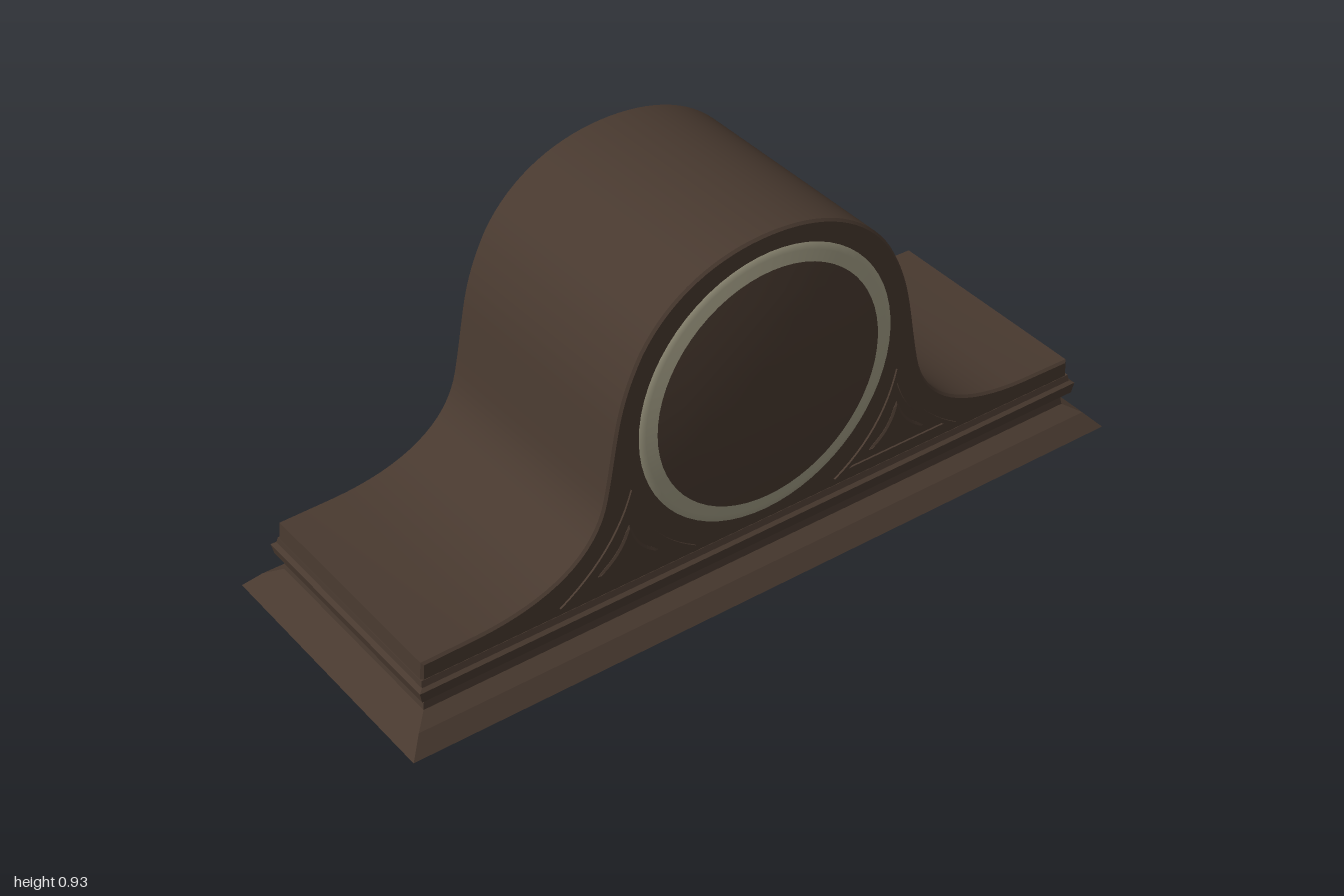
import * as THREE from 'three';
import { toCreasedNormals } from 'three/addons/utils/BufferGeometryUtils.js';

export function createModel() {
  const clock = new THREE.Group();
  clock.name = 'mantelClock';

  const wood = new THREE.MeshStandardMaterial({ color: 0x48392f });
  wood.name = 'darkWood';
  const ivory = new THREE.MeshStandardMaterial({ color: 0xa19c84 });
  ivory.name = 'ivoryRing';

  const add = (name, geometry, material, x = 0, y = 0, z = 0) => {
    const mesh = new THREE.Mesh(geometry, material);
    mesh.name = name;
    mesh.position.set(x, y, z);
    clock.add(mesh);
    return mesh;
  };

  // Moulded plinth: rectangular sections [y, half width, half depth]
  const sections = [
    [0, 1, 0.367], [0.008, 0.992, 0.36], [0.04, 0.962, 0.332], [0.06, 0.925, 0.295],
    [0.09, 0.92, 0.291], [0.1, 0.937, 0.312], [0.128, 0.943, 0.315],
    [0.134, 0.932, 0.306], [0.15, 0.93, 0.302],
  ];
  const pos = [];
  const corner = ([y, w, d], i) => [[w, y, d], [w, y, -d], [-w, y, -d], [-w, y, d]][i % 4];
  const quad = (a, b, c, d) => pos.push(...a, ...b, ...c, ...a, ...c, ...d);
  for (let s = 0; s < sections.length - 1; s++) {
    const lo = sections[s], hi = sections[s + 1];
    for (let i = 0; i < 4; i++) quad(corner(lo, i), corner(lo, i + 1), corner(hi, i + 1), corner(hi, i));
  }
  const first = sections[0], last = sections[sections.length - 1];
  quad(corner(last, 0), corner(last, 1), corner(last, 2), corner(last, 3));
  quad(corner(first, 3), corner(first, 2), corner(first, 1), corner(first, 0));
  const plinth = new THREE.BufferGeometry();
  plinth.setAttribute('position', new THREE.Float32BufferAttribute(pos, 3));
  plinth.computeVertexNormals();
  add('plinth', plinth, wood);

  // Case: round hood flowing into flat shoulders
  const outline = new THREE.Shape();
  outline.moveTo(-0.93, 0.135);
  outline.lineTo(0.93, 0.135);
  outline.lineTo(0.925, 0.195);
  outline.lineTo(0.78, 0.198);
  outline.bezierCurveTo(0.6, 0.205, 0.47, 0.27, 0.442, 0.41);
  outline.bezierCurveTo(0.41, 0.56, 0.415, 0.63, 0.345, 0.755);
  outline.bezierCurveTo(0.27, 0.875, 0.14, 0.93, 0, 0.93);
  outline.bezierCurveTo(-0.14, 0.93, -0.27, 0.875, -0.345, 0.755);
  outline.bezierCurveTo(-0.415, 0.63, -0.41, 0.56, -0.442, 0.41);
  outline.bezierCurveTo(-0.47, 0.27, -0.6, 0.205, -0.78, 0.198);
  outline.lineTo(-0.925, 0.195);
  const body = new THREE.ExtrudeGeometry(outline, {
    depth: 0.59, curveSegments: 16, bevelSize: 0.006, bevelOffset: -0.006,
    bevelThickness: 0.006, bevelSegments: 1,
  });
  body.translate(0, 0, -0.295);
  add('case', toCreasedNormals(body, 0.5), wood);

  // Domed dial with an ivory outer ring
  const dome = (r) => new THREE.Vector2(r, 0.037 * (1 - (r / 0.352) ** 2));
  const lathe = (radii, rim) => {
    const points = radii.map(dome);
    if (rim) points.unshift(new THREE.Vector2(0.35, -0.005));
    const g = new THREE.LatheGeometry(points, 64);
    g.rotateX(Math.PI / 2);
    return g;
  };
  add('dialRing', lathe([0.352, 0.335, 0.308], true), ivory, 0, 0.53, 0.301);
  add('dialFace', lathe([0.308, 0.25, 0.18, 0.09, 0], false), wood, 0, 0.53, 0.301);

  // Carved corner ornaments, mirrored: raised frame and inner leaf
  const triangle = (Path, scale, side) => {
    const p = (x, y) => [side * (0.385 + (x - 0.385) * scale), 0.235 + (y - 0.235) * scale];
    const t = new Path();
    t.moveTo(...p(0.2, 0.17));
    t.lineTo(...p(0.57, 0.17));
    t.quadraticCurveTo(...p(0.42, 0.26), ...p(0.375, 0.41));
    t.quadraticCurveTo(...p(0.34, 0.25), ...p(0.2, 0.17));
    return t;
  };
  for (const side of [-1, 1]) {
    const frame = triangle(THREE.Shape, 1, side);
    frame.holes.push(triangle(THREE.Path, 0.78, side));
    const label = side > 0 ? 'left' : 'right';
    add(label + 'OrnamentFrame', new THREE.ExtrudeGeometry(frame, { depth: 0.006, bevelEnabled: false }), wood, 0, 0, 0.3);
    add(label + 'OrnamentLeaf', new THREE.ExtrudeGeometry(triangle(THREE.Shape, 0.4, side), {
      depth: 0.002, bevelSize: 0.006, bevelThickness: 0.003, bevelSegments: 1,
    }), wood, 0, 0, 0.3);
  }

  // Arched back door with a small knob
  const door = new THREE.Shape();
  door.moveTo(-0.34, 0.2);
  door.lineTo(0.34, 0.2);
  door.lineTo(0.34, 0.53);
  door.absarc(0, 0.53, 0.34, 0, Math.PI, false);
  door.lineTo(-0.34, 0.2);
  const doorGeo = new THREE.ExtrudeGeometry(door, { depth: 0.006, bevelEnabled: false, curveSegments: 32 });
  add('backDoor', toCreasedNormals(doorGeo, 0.5), wood, 0, 0, -0.306);
  const knob = new THREE.CylinderGeometry(0.012, 0.012, 0.006, 12);
  knob.rotateX(Math.PI / 2);
  add('doorKnob', knob, wood, 0.16, 0.54, -0.308);

  return clock;
}
